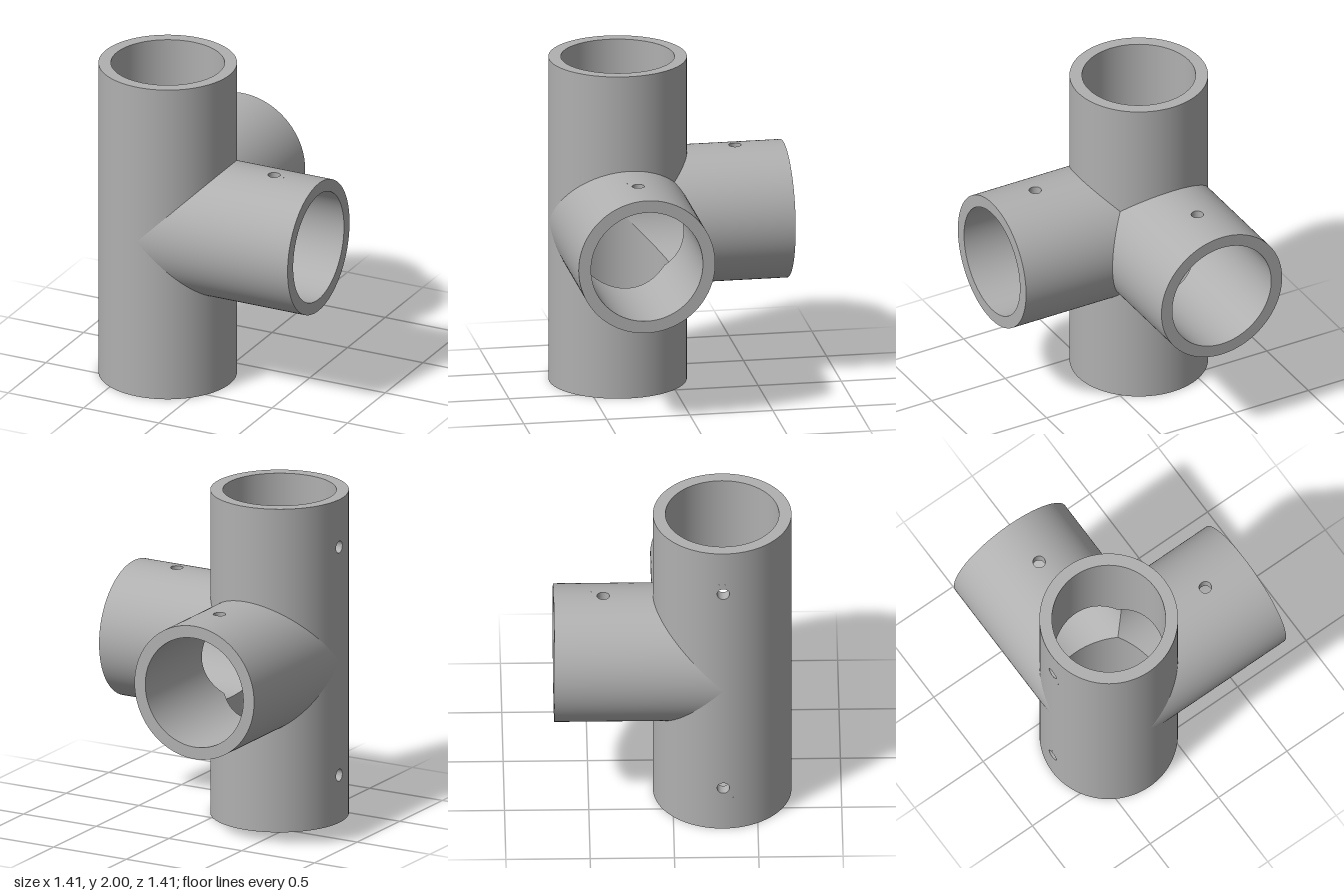
import * as THREE from 'three';

const R = 0.411, BORE = 0.337, LEN = 1, CENTRE = 0.2945;   // pipe radii, arm length, offset of the junction
const HOLE_R = 0.037, HOLE_T = 0.706, HOLE_H = 0.07;       // screw hole and the patch around it
const N = 144, SPAN = 4, K = 32;                           // columns, half patch in columns, hole segments

const V = (x, y, z) => new THREE.Vector3(x, y, z);

// Each arm: axis direction and the side its screw hole is on
const ARMS = [
  { name: 'upperArm', d: V(0, 1, 0), n: V(-1, 0, 0) },
  { name: 'lowerArm', d: V(0, -1, 0), n: V(-1, 0, 0) },
  { name: 'sideArm', d: V(1, 0, 0), n: V(0, 1, 0) },
  { name: 'backArm', d: V(0, 0, -1), n: V(0, 1, 0) },
];

// Collects quads of { p, n } corners into a geometry
function quadGeometry(quads, flip = false) {
  const pos = [], nor = [];
  for (const q of quads) {
    for (const i of flip ? [0, 2, 1, 0, 3, 2] : [0, 1, 2, 0, 2, 3]) {
      pos.push(...q[i].p.toArray());
      nor.push(...q[i].n.clone().multiplyScalar(flip ? -1 : 1).toArray());
    }
  }
  const g = new THREE.BufferGeometry();
  g.setAttribute('position', new THREE.Float32BufferAttribute(pos, 3));
  g.setAttribute('normal', new THREE.Float32BufferAttribute(nor, 3));
  return g;
}

function buildArm(arm, material) {
  const { d, n } = arm;
  const l = d.clone().cross(n);
  const others = ARMS.filter(a => a !== arm).map(a => a.d);
  const group = new THREE.Group();
  group.name = arm.name;
  const add = (name, geometry) => {
    const mesh = new THREE.Mesh(geometry, material);
    mesh.name = name;
    group.add(mesh);
  };

  const radial = i => {
    const a = (i / N) * Math.PI * 2;
    return n.clone().multiplyScalar(Math.cos(a)).addScaledVector(l, Math.sin(a));
  };
  const at = (rad, i, t) => {
    const dir = radial(i);
    return { p: dir.clone().multiplyScalar(rad).addScaledVector(d, t), n: dir };
  };
  // Point at sideways offset a from the hole axis
  const near = (rad, a, t) => {
    const dir = n.clone().multiplyScalar(Math.sqrt(rad * rad - a * a)).addScaledVector(l, a).divideScalar(rad);
    return { p: dir.clone().multiplyScalar(rad).addScaledVector(d, t), n: dir };
  };
  // Mitre line where equal pipes meet
  const start = (rad, i) => Math.max(0, ...others.map(o => o.dot(radial(i)) * rad));

  // Pipe wall with a round opening
  const wall = rad => {
    const quads = [];
    for (let i = -SPAN; i < N - SPAN; i++) {
      const rows = [null, HOLE_T - HOLE_H, HOLE_T + HOLE_H, LEN];
      for (let j = 0; j < 3; j++) {
        if (j === 1 && i < SPAN) continue;
        const lo = c => rows[j] ?? start(rad, c);
        quads.push([at(rad, i, lo(i)), at(rad, i + 1, lo(i + 1)), at(rad, i + 1, rows[j + 1]), at(rad, i, rows[j + 1])]);
      }
    }
    const half = rad * Math.sin((SPAN / N) * Math.PI * 2);
    const ring = (k, f) => {
      const c = Math.cos((k / K) * Math.PI * 2), s = Math.sin((k / K) * Math.PI * 2);
      const m = Math.max(Math.abs(c), Math.abs(s));
      return near(rad, THREE.MathUtils.lerp(HOLE_R * c, half * c / m, f),
        HOLE_T + THREE.MathUtils.lerp(HOLE_R * s, HOLE_H * s / m, f));
    };
    for (let k = 0; k < K; k++) {
      for (const f of [0, 0.5]) {
        quads.push([ring(k, f), ring(k, f + 0.5), ring(k + 1, f + 0.5), ring(k + 1, f)]);
      }
    }
    return quads;
  };
  add('outerWall', quadGeometry(wall(R)));
  add('bore', quadGeometry(wall(BORE), true));

  // Flat end rim
  const rim = [];
  for (let i = 0; i < N; i++) {
    rim.push([at(R, i, LEN), at(R, i + 1, LEN), at(BORE, i + 1, LEN), at(BORE, i, LEN)].map(v => ({ p: v.p, n: d })));
  }
  add('endRim', quadGeometry(rim));

  // Inside of the screw hole
  const hole = [];
  const holePoint = (rad, k) => {
    const c = Math.cos((k / K) * Math.PI * 2), s = Math.sin((k / K) * Math.PI * 2);
    return {
      p: near(rad, HOLE_R * c, HOLE_T + HOLE_R * s).p,
      n: l.clone().multiplyScalar(-c).addScaledVector(d, -s),
    };
  };
  for (let k = 0; k < K; k++) {
    hole.push([holePoint(R, k), holePoint(R, k + 1), holePoint(BORE, k + 1), holePoint(BORE, k)]);
  }
  add('screwHole', quadGeometry(hole));
  return group;
}

export function createModel() {
  const material = new THREE.MeshStandardMaterial({ color: 0xb0b0b0 });
  material.name = 'grey';
  const model = new THREE.Group();
  model.name = 'pipeFitting';
  for (const arm of ARMS) {
    const part = buildArm(arm, material);
    part.position.set(-CENTRE, 1, CENTRE);
    model.add(part);
  }
  return model;
}
